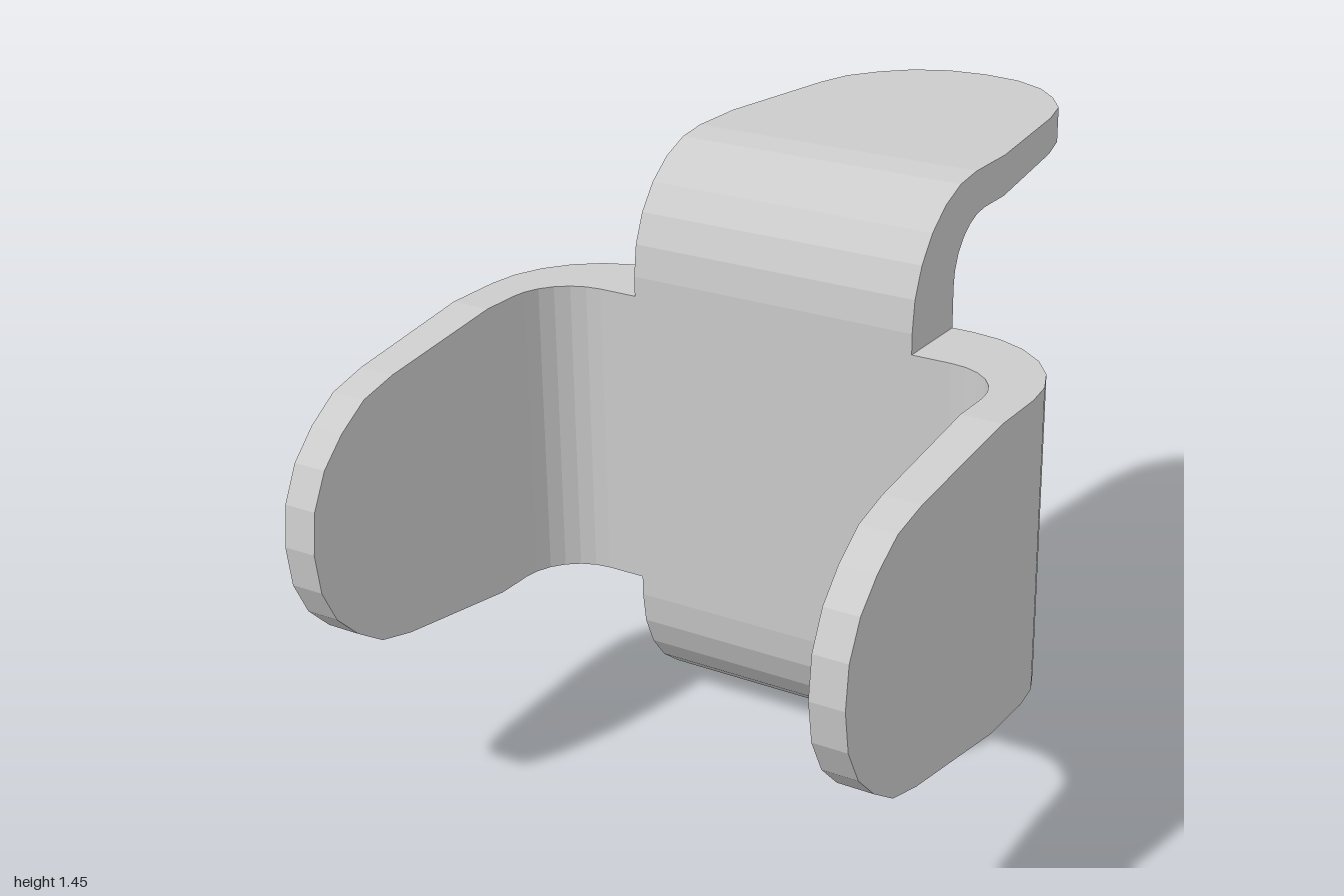
import * as THREE from 'three';

const HALF = 0.375;      // half width of the hub and of each arm root
const CENTRE_Y = 0.725;
const THICK = 0.2;

// Cross-sections along an arm: half width, then [z, y] of the outer and inner skin
function armSections() {
  const sections = [{ w: HALF, outer: [THICK / 2, HALF], inner: [-THICK / 2, HALF] }];
  // quarter bend, 15 degrees per facet
  for (let i = 0; i <= 6; i++) {
    const a = (i / 6) * Math.PI / 2, c = Math.cos(a), s = Math.sin(a);
    sections.push({
      w: HALF,
      outer: [-0.2 + 0.3 * c, 0.425 + 0.3 * s],
      inner: [-0.25 + 0.15 * c, 0.475 + 0.15 * s],
    });
  }
  // straight blade that tapers to a rounded tip: [reach, half width]
  const outline = [[0.35, HALF], [0.7, 0.328], [0.8, 0.303], [0.88, 0.25],
    [0.945, 0.185], [0.987, 0.1], [1, 0]];
  for (const [reach, w] of outline) {
    const k = Math.max(0, reach - 0.35) / 0.65;
    sections.push({ w, outer: [-reach, 0.725 - 0.008 * k], inner: [-reach, 0.625 + 0.008 * k] });
  }
  return sections;
}

// Skin the four sides between successive cross-sections
function armGeometry() {
  const rings = armSections().map(({ w, outer, inner }) => [
    [w, outer[1], outer[0]], [-w, outer[1], outer[0]],
    [-w, inner[1], inner[0]], [w, inner[1], inner[0]],
  ]);
  const positions = [];
  for (let k = 0; k < rings.length - 1; k++) {
    for (let i = 0; i < 4; i++) {
      const j = (i + 1) % 4;
      const a = rings[k][i], b = rings[k][j], a2 = rings[k + 1][i], b2 = rings[k + 1][j];
      positions.push(...b, ...a, ...a2, ...b, ...a2, ...b2);
    }
  }
  const geometry = new THREE.BufferGeometry();
  geometry.setAttribute('position', new THREE.Float32BufferAttribute(positions, 3));
  geometry.computeVertexNormals();
  return geometry;
}

export function createModel() {
  const group = new THREE.Group();
  group.name = 'fourArmBracket';
  const material = new THREE.MeshStandardMaterial({ color: 0xcccccc, flatShading: true });

  const add = (name, geometry) => {
    const mesh = new THREE.Mesh(geometry, material);
    mesh.name = name;
    mesh.position.y = CENTRE_Y;
    group.add(mesh);
  };

  // Square hub plate
  add('hubPlate', new THREE.BoxGeometry(HALF * 2, HALF * 2, THICK));

  // Upper and lower arms bend backward
  add('upperArm', armGeometry());
  add('lowerArm', armGeometry().rotateZ(Math.PI));

  // Side arms are turned over so that they bend forward
  add('leftArm', armGeometry().rotateX(Math.PI).rotateZ(Math.PI / 2));
  add('rightArm', armGeometry().rotateX(Math.PI).rotateZ(-Math.PI / 2));

  return group;
}
